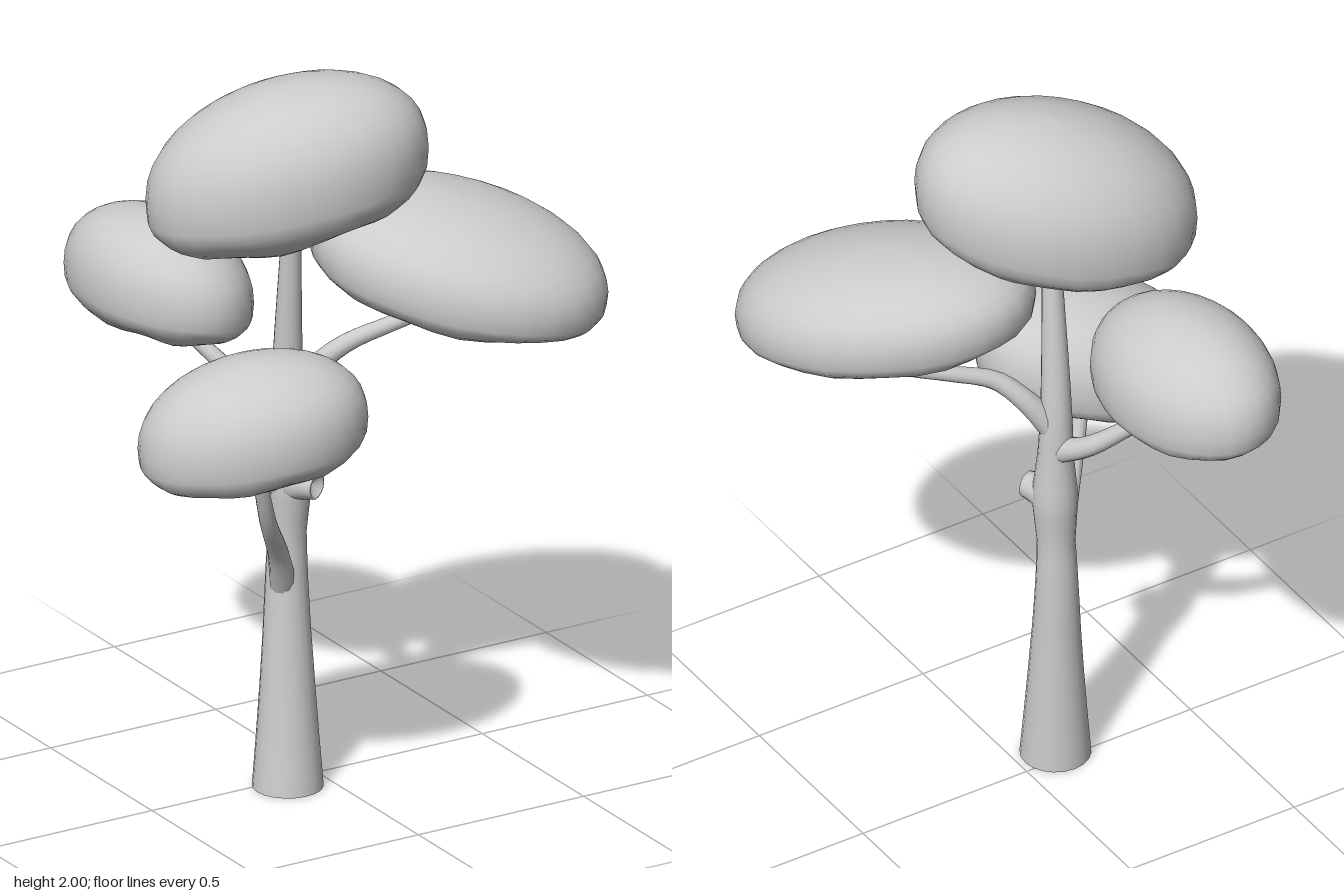
import * as THREE from 'three';

const material = new THREE.MeshStandardMaterial({ color: 0xcccccc, side: THREE.DoubleSide });

function addMesh(parent, name, geometry) {
  const mesh = new THREE.Mesh(geometry, material);
  mesh.name = name;
  parent.add(mesh);
  return mesh;
}

// Smooth normals on a grid of rows, averaged across the seam
function smoothGrid(geometry, rows, sides) {
  geometry.computeVertexNormals();
  const nor = geometry.attributes.normal;
  const a = new THREE.Vector3();
  const b = new THREE.Vector3();
  for (let i = 0; i <= rows; i++) {
    const first = i * (sides + 1);
    const last = first + sides;
    a.fromBufferAttribute(nor, first).add(b.fromBufferAttribute(nor, last)).normalize();
    nor.setXYZ(first, a.x, a.y, a.z);
    nor.setXYZ(last, a.x, a.y, a.z);
  }
  return geometry;
}

// Tube along a smooth path whose radius follows a list of evenly spaced values
function taperedTube(points, radii, rows, sides) {
  const path = new THREE.CatmullRomCurve3(points.map((p) => new THREE.Vector3(...p)));
  const geometry = new THREE.TubeGeometry(path, rows, 1, sides, false);
  const pos = geometry.attributes.position;
  const v = new THREE.Vector3();
  for (let i = 0; i <= rows; i++) {
    const centre = path.getPointAt(i / rows);
    const f = (i / rows) * (radii.length - 1);
    const k = Math.min(Math.floor(f), radii.length - 2);
    const r = THREE.MathUtils.lerp(radii[k], radii[k + 1], f - k);
    for (let j = 0; j <= sides; j++) {
      const n = i * (sides + 1) + j;
      v.fromBufferAttribute(pos, n).sub(centre).multiplyScalar(r).add(centre);
      pos.setXYZ(n, v.x, v.y, v.z);
    }
  }
  return smoothGrid(geometry, rows, sides);
}

// Leaf cushion: a full domed top over a flatter, slightly lumpy underside.
// half = half widths in x and z, skew turns the oval in plan, slope tilts it
function leafCushion({ half, skew, slope, up, down, phase }) {
  const geometry = new THREE.SphereGeometry(1, 28, 20);
  const pos = geometry.attributes.position;
  const across = Math.sqrt(1 - skew * skew);
  for (let i = 0; i < pos.count; i++) {
    const u = pos.getX(i);
    const v = pos.getY(i);
    const w = pos.getZ(i);
    const x = half[0] * u;
    const z = half[1] * (skew * u + across * w);
    let y = v > 0 ? up * Math.pow(v, 0.9) : -down * Math.pow(-v, 0.65);
    if (v < 0) y += 0.012 * v * Math.sin(7 * u + phase) * Math.cos(6 * w - phase);
    pos.setXYZ(i, x, y + slope[0] * x + slope[1] * z, z);
  }
  return smoothGrid(geometry, 20, 28);
}

export function createModel() {
  const tree = new THREE.Group();
  tree.name = 'tree';

  // Trunk, open underneath, with a swelling around the knot
  const trunk = taperedTube(
    [[-0.11, 0, 0.035], [-0.103, 0.3, 0.021], [-0.097, 0.6, 0.008], [-0.094, 0.85, 0.012],
      [-0.095, 1.1, 0.008], [-0.105, 1.4, 0.036], [-0.115, 1.68, 0.07]],
    [0.093, 0.082, 0.072, 0.063, 0.056, 0.05, 0.061, 0.047, 0.041, 0.036, 0.031, 0.026, 0.022], 36, 20);
  const base = trunk.attributes.position;
  for (let j = 0; j <= 20; j++) base.setY(j, 0);
  addMesh(tree, 'trunk', trunk);

  // Knot: a short flared stub with a hollow end
  const knotProfile = [[0.062, -0.02], [0.052, 0.03], [0.042, 0.055], [0.037, 0.075],
    [0.036, 0.084], [0.03, 0.086], [0.026, 0.076], [0, 0.066]].map((p) => new THREE.Vector2(...p));
  const knot = addMesh(tree, 'knot', new THREE.LatheGeometry(knotProfile, 16));
  knot.position.set(-0.095, 0.845, 0.018);
  knot.quaternion.setFromUnitVectors(
    new THREE.Vector3(0, 1, 0), new THREE.Vector3(0.42, -0.03, 0.9).normalize());

  // Branches
  const branches = {
    lowerBranch: [[-0.115, 0.55, 0.02], [-0.158, 0.66, 0.07], [-0.24, 0.8, 0.15],
      [-0.288, 0.93, 0.19], [-0.32, 1.02, 0.2]],
    leftBranch: [[-0.09, 1.06, 0.01], [-0.025, 1.155, 0.04], [0.04, 1.22, 0.085],
      [0.16, 1.265, 0.125], [0.28, 1.31, 0.165], [0.32, 1.37, 0.18]],
    backBranch: [[-0.09, 0.99, 0.01], [-0.13, 1.05, -0.09], [-0.2, 1.14, -0.18],
      [-0.25, 1.21, -0.25], [-0.28, 1.27, -0.29]],
  };
  for (const [name, points] of Object.entries(branches)) {
    addMesh(tree, name, taperedTube(points, [0.036, 0.028, 0.023, 0.02, 0.017], 16, 12));
  }

  // Leaf cushions
  const cushions = {
    topLeaves: { at: [-0.143, 1.73, 0.085], half: [0.35, 0.28], skew: 0.27, slope: [0.15, 0.12], up: 0.258, down: 0.185, phase: 0.4 },
    lowerLeaves: { at: [-0.323, 1.09, 0.21], half: [0.287, 0.238], skew: 0.22, slope: [0.13, 0.05], up: 0.207, down: 0.135, phase: 1.7 },
    backLeaves: { at: [-0.297, 1.325, -0.297], half: [0.203, 0.302], skew: 0.1, slope: [-0.1, 0], up: 0.202, down: 0.125, phase: 2.9 },
    leftLeaves: { at: [0.271, 1.455, 0.253], half: [0.34, 0.348], skew: 0.32, slope: [-0.08, -0.17], up: 0.185, down: 0.13, phase: 4.1 },
  };
  for (const [name, spec] of Object.entries(cushions)) {
    addMesh(tree, name, leafCushion(spec)).position.set(...spec.at);
  }

  return tree;
}
